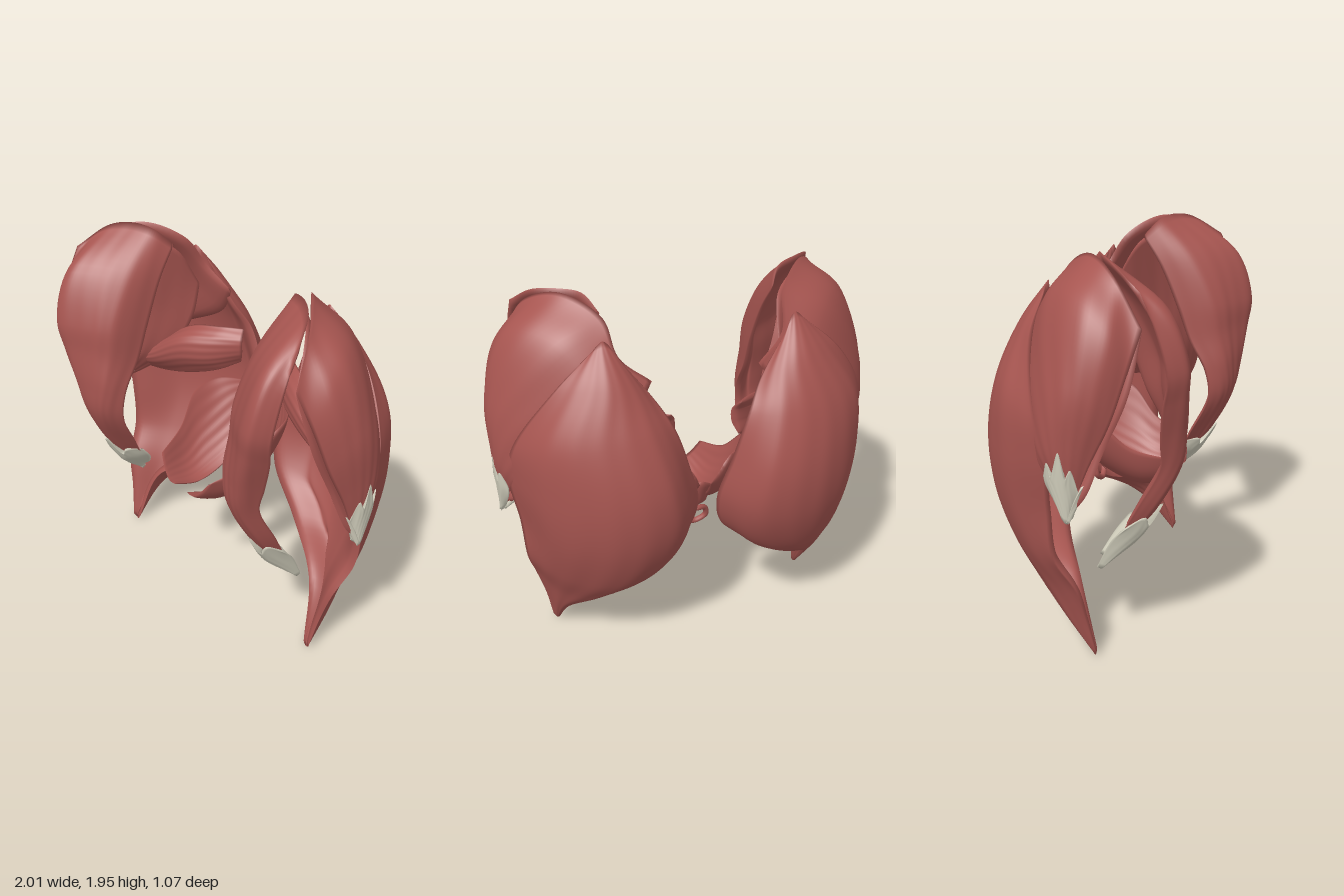
import * as THREE from 'three';
import { mergeVertices } from 'three/addons/utils/BufferGeometryUtils.js';

const red = new THREE.MeshStandardMaterial({ color: 0xa65550, side: THREE.DoubleSide });
const pale = new THREE.MeshStandardMaterial({ color: 0xcfccba, side: THREE.DoubleSide });

const curve = (pts) => new THREE.CatmullRomCurve3(pts.map((p) => (p.isVector3 ? p : new THREE.Vector3(...p))), false, 'centripetal');

// Smooth closed belly through rows of points; the back is sunk by t, thinning to the rim.
function muscle(name, rows, t, side, { material = red, ripple = 0.0015, nu = 40, nv = 48 } = {}) {
  const across = rows.map(curve);
  const grid = [];
  for (let i = 0; i <= nu; i++) {
    const along = curve(across.map((c) => c.getPoint(i / nu)));
    grid.push(Array.from({ length: nv + 1 }, (_, j) => along.getPoint(j / nv)));
  }
  const pos = [], idx = [];
  const du = new THREE.Vector3(), dv = new THREE.Vector3();
  for (const layer of [0, 1]) {
    for (let i = 0; i <= nu; i++) for (let j = 0; j <= nv; j++) {
      du.subVectors(grid[Math.min(i + 1, nu)][j], grid[Math.max(i - 1, 0)][j]);
      dv.subVectors(grid[i][Math.min(j + 1, nv)], grid[i][Math.max(j - 1, 0)]);
      const n = du.cross(dv).normalize();
      const u = i / nu, v = j / nv;
      const rim = Math.sqrt(Math.max(0, Math.sin(Math.PI * u) * Math.sin(Math.PI * v)));
      const fibre = ripple * rim * Math.sin(u * 46 + 3 * Math.sin(v * 5)) * Math.sign(t);
      const p = grid[i][j].clone().addScaledVector(n, layer ? -t * rim : fibre);
      pos.push(side * p.x, p.y, p.z);
    }
  }
  const size = (nu + 1) * (nv + 1);
  for (const layer of [0, 1]) {
    const flip = (t < 0) !== (side < 0) !== (layer === 1);
    for (let i = 0; i < nu; i++) for (let j = 0; j < nv; j++) {
      const a = layer * size + i * (nv + 1) + j, b = a + nv + 1;
      if (flip) idx.push(a, a + 1, b, b, a + 1, b + 1);
      else idx.push(a, b, a + 1, b, b + 1, a + 1);
    }
  }
  let geo = new THREE.BufferGeometry();
  geo.setAttribute('position', new THREE.Float32BufferAttribute(pos, 3));
  geo.setIndex(idx);
  geo = mergeVertices(geo, 1e-5);
  geo.computeVertexNormals();
  const mesh = new THREE.Mesh(geo, material);
  mesh.name = name;
  return mesh;
}

function buildSide(s) {
  const g = new THREE.Group();
  g.name = s > 0 ? 'leftHip' : 'rightHip';
  const tendon = { material: pale, ripple: 0.001, nu: 36, nv: 14 };

  // Large rear muscle, rows from the top corner to the low tip
  g.add(muscle('gluteusMaximus', [
    [[.43, 1.72, -.23], [.455, 1.77, -.21], [.48, 1.79, -.2], [.5, 1.78, -.2], [.53, 1.75, -.2]],
    [[.27, 1.5, -.28], [.36, 1.56, -.33], [.48, 1.6, -.34], [.61, 1.6, -.29], [.73, 1.57, -.2]],
    [[.19, 1.36, -.34], [.33, 1.37, -.44], [.55, 1.36, -.44], [.77, 1.34, -.33], [.92, 1.28, -.11]],
    [[.11, 1.12, -.34], [.26, 1.08, -.51], [.53, 1.06, -.51], [.8, 1.06, -.34], [.95, 1.08, -.05]],
    [[.05, .88, -.3], [.22, .82, -.48], [.5, .8, -.5], [.78, .8, -.33], [.91, .82, -.05]],
    [[.1, .68, -.25], [.27, .58, -.38], [.52, .54, -.4], [.76, .55, -.25], [.89, .58, -.04]],
    [[.32, .49, -.18], [.46, .42, -.27], [.6, .38, -.26], [.75, .36, -.13], [.84, .4, .05]],
    [[.62, .35, -.01], [.66, .27, -.06], [.7, .21, -.07], [.75, .2, -.03], [.79, .22, .08]],
    [[.71, .03, .1], [.72, .01, .1], [.73, .005, .1], [.74, .01, .1], [.755, .03, .11]],
  ], 0.13, s, { nu: 48, nv: 64 }));

  // Outer fan, rows from the crest down; its rear part runs under the large muscle
  g.add(muscle('gluteusMedius', [
    [[.27, 1.58, -.26], [.41, 1.7, -.21], [.45, 1.86, -.11], [.6, 1.945, .05], [.74, 1.88, .2], [.82, 1.68, .35]],
    [[.38, 1.42, -.29], [.55, 1.58, -.25], [.7, 1.76, -.12], [.86, 1.77, .08], [.91, 1.66, .23], [.89, 1.48, .3]],
    [[.68, 1.25, -.24], [.81, 1.36, -.18], [.93, 1.45, -.05], [.99, 1.45, .08], [.98, 1.4, .18], [.93, 1.28, .24]],
    [[.9, 1.08, -.12], [.95, 1.13, -.08], [.99, 1.17, -.02], [1, 1.17, .04], [.99, 1.15, .1], [.95, 1.08, .15]],
    [[.95, .95, .0], [.96, .95, .01], [.97, .93, .03], [.975, .92, .05], [.97, .91, .06], [.95, .9, .08]],
  ], 0.1, s));
  g.add(muscle('gluteusMediusTendon', [
    [[.95, 1.02, -.06], [.985, 1.1, -.03], [.995, 1.04, -.01], [1, 1.16, .03], [1, 1.04, .06], [.99, 1.08, .08], [.96, .96, .11]],
    [[.95, .98, -.05], [.985, 1, -.02], [.992, 1, 0], [.995, 1, .03], [.992, .98, .06], [.98, .96, .08], [.95, .92, .1]],
    [[.96, .87, .02], [.98, .85, .03], [.985, .83, .045], [.985, .82, .055], [.98, .82, .065], [.97, .83, .07], [.95, .84, .08]],
  ], 0.04, s, tendon));

  // Inner fan under the outer one
  g.add(muscle('gluteusMinimus', [
    [[.42, 1.6, -.17], [.46, 1.82, -.04], [.62, 1.88, .1], [.73, 1.82, .22], [.82, 1.67, .35]],
    [[.46, 1.4, -.15], [.6, 1.46, -.02], [.7, 1.47, .1], [.8, 1.45, .22], [.89, 1.4, .31]],
    [[.6, 1.15, -.1], [.7, 1.14, .01], [.77, 1.15, .08], [.85, 1.15, .16], [.92, 1.15, .21]],
    [[.76, 1.0, -.04], [.81, .99, .01], [.86, .98, .06], [.91, .96, .1], [.96, .95, .14]],
    [[.93, .88, .03], [.94, .88, .04], [.95, .87, .05], [.96, .86, .06], [.97, .86, .07]],
  ], -0.06, s));
  g.add(muscle('gluteusMinimusTendon', [
    [[.79, .99, .02], [.83, .98, .05], [.87, 1.0, .09], [.91, .97, .11], [.95, 1.0, .13], [.97, .98, .12]],
    [[.85, .92, .03], [.87, .92, .05], [.9, .92, .08], [.93, .92, .1], [.96, .92, .11], [.98, .92, .09]],
    [[.96, .83, .05], [.965, .83, .055], [.97, .825, .06], [.98, .82, .065], [.985, .82, .07], [.99, .83, .06]],
  ], -0.03, s, tendon));

  // Front strap that drapes over the crest and narrows downward
  g.add(muscle('iliacus', [
    [[.44, 1.85, -.02], [.5, 1.93, .05], [.61, 1.95, .1], [.71, 1.93, .18], [.79, 1.83, .33]],
    [[.43, 1.7, .08], [.47, 1.73, .24], [.6, 1.75, .36], [.73, 1.74, .44], [.8, 1.67, .4]],
    [[.42, 1.48, .18], [.46, 1.5, .37], [.57, 1.5, .46], [.72, 1.5, .53], [.79, 1.46, .45]],
    [[.42, 1.3, .25], [.46, 1.33, .4], [.56, 1.35, .47], [.69, 1.35, .52], [.75, 1.3, .42]],
    [[.42, 1.14, .34], [.46, 1.16, .44], [.54, 1.17, .48], [.64, 1.17, .5], [.7, 1.14, .4]],
    [[.43, .98, .36], [.48, 1, .44], [.54, 1, .47], [.61, 1, .47], [.66, 1, .39]],
    [[.48, .74, .25], [.53, .76, .32], [.57, .78, .37], [.62, .78, .36], [.66, .78, .28]],
    [[.55, .57, .16], [.57, .57, .2], [.59, .57, .22], [.61, .57, .21], [.63, .57, .17]],
  ], -0.09, s));
  g.add(muscle('iliacusTendon', [
    [[.5, .68, .2], [.525, .7, .3], [.55, .66, .3], [.58, .79, .39], [.61, .68, .33], [.635, .73, .32], [.66, .66, .22]],
    [[.515, .6, .14], [.54, .6, .22], [.565, .6, .26], [.585, .6, .28], [.61, .6, .27], [.635, .6, .23], [.655, .6, .16]],
    [[.6, .49, .08], [.61, .48, .11], [.62, .46, .12], [.63, .45, .12], [.635, .44, .115], [.64, .43, .1], [.645, .44, .08]],
  ], -0.06, s, tendon));

  // Horizontal band from the sacrum to the outer tendon
  g.add(muscle('piriformis', [
    [[.18, 1.39, -.27], [.15, 1.34, -.23], [.15, 1.27, -.23], [.18, 1.2, -.25]],
    [[.28, 1.39, -.2], [.3, 1.32, -.11], [.3, 1.22, -.1], [.28, 1.14, -.17]],
    [[.44, 1.36, -.14], [.46, 1.29, -.04], [.46, 1.19, -.03], [.44, 1.08, -.11]],
    [[.66, 1.22, -.1], [.68, 1.16, -.02], [.68, 1.1, -.01], [.66, 1.02, -.08]],
    [[.92, 1.06, -.05], [.93, 1.04, -.03], [.93, 1.02, -.02], [.92, 1, -.04]],
  ], 0.08, s));

  // Sling of the pelvic floor, rows from back to front
  g.add(muscle('pelvicFloor', [
    [[.03, .95, -.27], [.06, 1.02, -.29], [.09, 1.07, -.29], [.13, 1.1, -.27]],
    [[.04, .82, -.16], [.11, .87, -.17], [.19, .98, -.17], [.27, 1.1, -.16]],
    [[.05, .71, .0], [.13, .76, .0], [.22, .87, -.01], [.3, 1.06, -.03]],
    [[.05, .68, .16], [.11, .7, .16], [.18, .77, .15], [.25, .91, .12]],
    [[.05, .74, .33], [.09, .74, .33], [.14, .78, .32], [.19, .85, .3]],
  ], -0.04, s, { nv: 32 }));
  return g;
}

export function createModel() {
  const model = new THREE.Group();
  model.name = 'hipMuscles';
  model.add(buildSide(1), buildSide(-1));

  // Small midline loop and the arch joining both slings
  const loop = new THREE.Mesh(new THREE.TubeGeometry(new THREE.CatmullRomCurve3(
    [[0, .625, -.11], [.06, .66, -.12], [.05, .71, -.13], [0, .73, -.15], [-.05, .71, -.13], [-.06, .66, -.12]]
      .map((p) => new THREE.Vector3(...p)), true), 48, 0.015, 10, true), red);
  loop.name = 'midlineLoop';
  const arch = muscle('slingArch', [
    [[-.1, .84, -.13], [-.05, .9, -.19], [0, .93, -.21], [.05, .9, -.19], [.1, .84, -.13]],
    [[-.09, .77, -.08], [-.05, .81, -.13], [0, .83, -.17], [.05, .81, -.13], [.09, .77, -.08]],
    [[-.08, .7, -.06], [-.05, .73, -.11], [0, .75, -.15], [.05, .73, -.11], [.08, .7, -.06]],
  ], -0.02, 1, { nu: 24, nv: 12 });
  model.add(loop, arch);
  return model;
}
